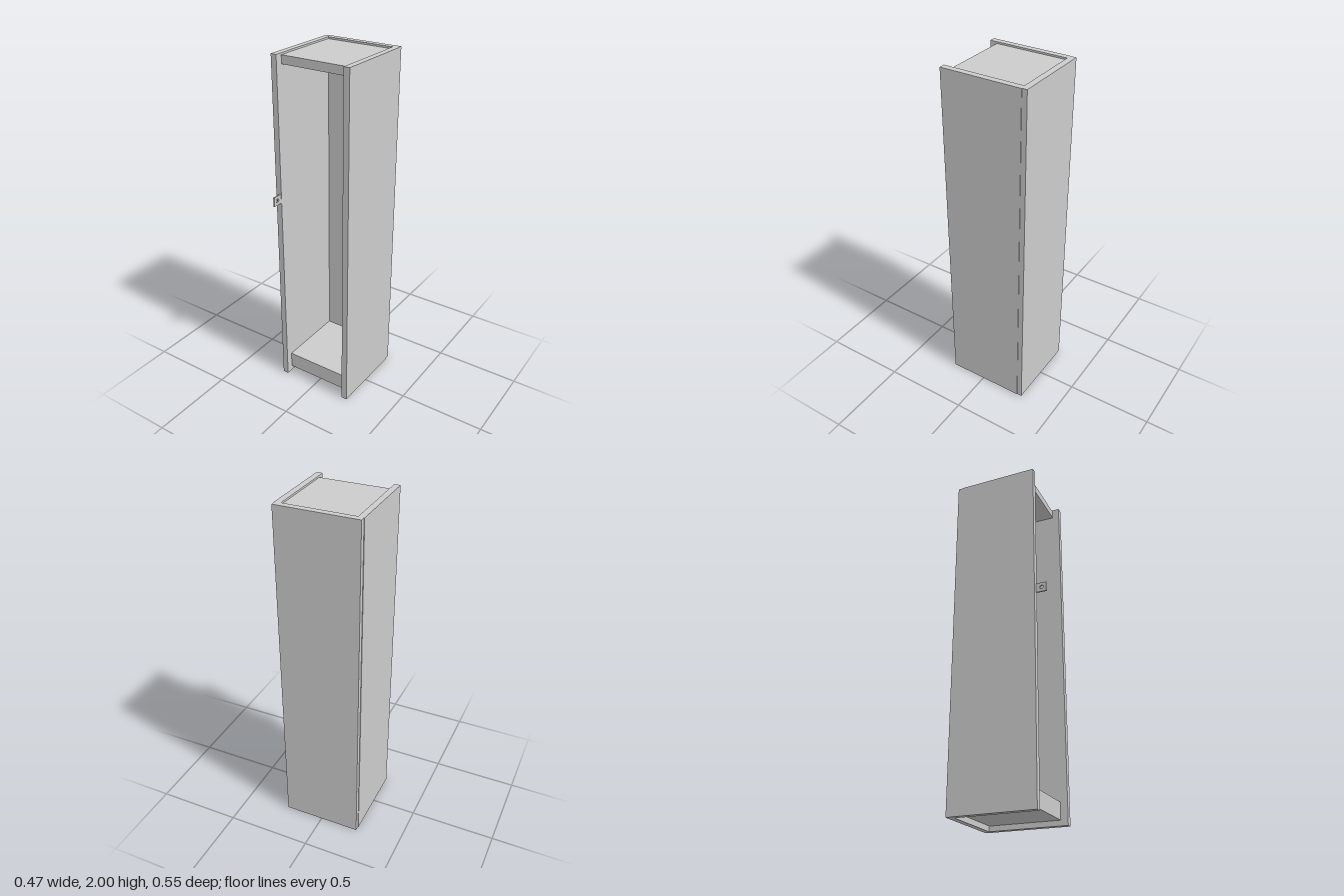
import * as THREE from 'three';

const material = new THREE.MeshStandardMaterial({ color: 0xcccccc, flatShading: true });

// Box given by its lower and upper corners
function panel(name, [x0, y0, z0], [x1, y1, z1]) {
  const mesh = new THREE.Mesh(new THREE.BoxGeometry(x1 - x0, y1 - y0, z1 - z0), material);
  mesh.position.set((x0 + x1) / 2, (y0 + y1) / 2, (z0 + z1) / 2);
  mesh.name = name;
  return mesh;
}

export function createModel() {
  const cabinet = new THREE.Group();
  cabinet.name = 'cabinet';

  // Carcass: full-height sides and back
  cabinet.add(
    panel('leftSide', [0.2, 0, -0.248], [0.235, 2, 0.216]),
    panel('rightSide', [-0.235, 0, -0.248], [-0.201, 2, 0.216]),
    panel('back', [-0.232, 0, -0.277], [0.232, 2, -0.242])
  );

  // Recessed top and thick floor, just clear of the back
  cabinet.add(
    panel('topPanel', [-0.201, 1.943, -0.24], [0.2, 1.99, 0.175]),
    panel('floorPanel', [-0.201, 0.03, -0.24], [0.2, 0.126, 0.175])
  );

  // Lock tab with a round padlock hole, extruded across x
  const tab = new THREE.Shape();
  tab.moveTo(-0.275, 1.18);
  tab.lineTo(-0.214, 1.18);
  tab.lineTo(-0.214, 1.234);
  tab.lineTo(-0.275, 1.234);
  tab.closePath();
  const hole = new THREE.Path();
  hole.absarc(-0.248, 1.207, 0.011, 0, Math.PI * 2, true);
  tab.holes.push(hole);
  const geometry = new THREE.ExtrudeGeometry(tab, { depth: 0.008, bevelEnabled: false, curveSegments: 16 });
  geometry.rotateY(Math.PI / 2); // shape x becomes -z, depth becomes +x
  const lockTab = new THREE.Mesh(geometry, material);
  lockTab.position.x = -0.211;
  lockTab.name = 'lockTab';
  cabinet.add(lockTab);

  return cabinet;
}
